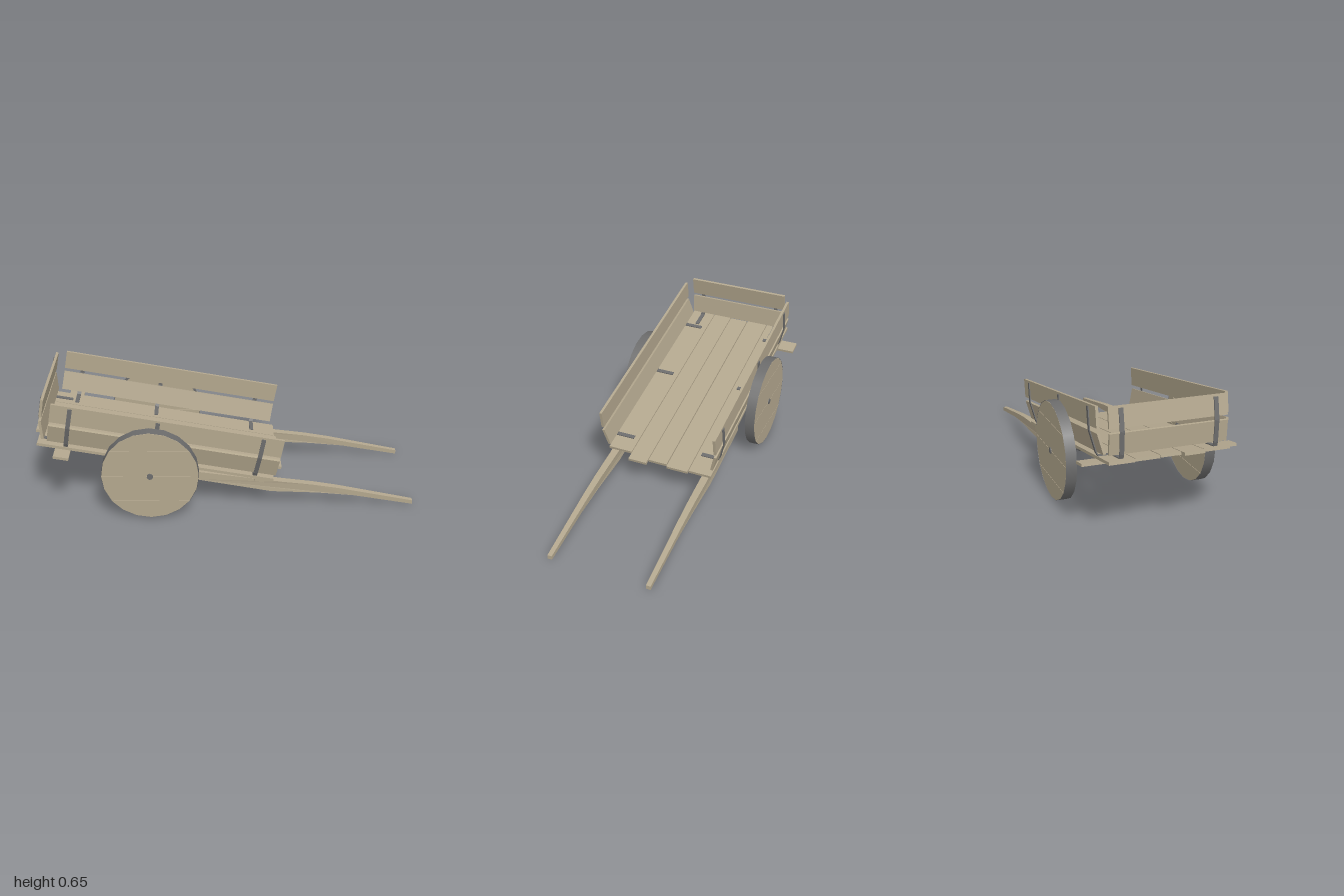
import * as THREE from 'three';

const wood = new THREE.MeshStandardMaterial({ color: 0xb3a78e, flatShading: true });
const metal = new THREE.MeshStandardMaterial({ color: 0x6c6c6c, flatShading: true });
const tyreMetal = new THREE.MeshStandardMaterial({ color: 0x6c6c6c, side: THREE.DoubleSide });

function add(parent, name, geometry, material, x = 0, y = 0, z = 0) {
  const mesh = new THREE.Mesh(geometry, material);
  mesh.name = name;
  mesh.position.set(x, y, z);
  parent.add(mesh);
  return mesh;
}

const box = (parent, name, w, h, d, material, x, y, z) =>
  add(parent, name, new THREE.BoxGeometry(w, h, d), material, x, y, z);

// Bent iron strap: one flat bar per segment of a [z, y] path
function addStrap(parent, x, path) {
  const strap = new THREE.Group();
  strap.name = 'ironStrap';
  for (let i = 1; i < path.length; i++) {
    const [z0, y0] = path[i - 1], [z1, y1] = path[i];
    const length = Math.hypot(z1 - z0, y1 - y0);
    const bar = box(strap, 'strapBar', 0.022, 0.005, length + 0.004, metal, x, (y0 + y1) / 2, (z0 + z1) / 2);
    bar.rotation.x = -Math.atan2(y1 - y0, z1 - z0);
  }
  parent.add(strap);
}

// Wall of two boards, the lower one leaning outwards (+z), held by straps
function makeWall(name, length, distance, centre, strapPositions) {
  const wall = new THREE.Group();
  wall.name = name;
  const lower = box(wall, 'lowerBoard', length, 0.104, 0.014, wood, centre, 0.074, distance + 0.0195);
  lower.rotation.x = Math.atan2(0.025, 0.102);
  box(wall, 'upperBoard', length, 0.101, 0.014, wood, centre, 0.1965, distance + 0.032);
  const path = [[-0.088, 0.003], [0.008, 0.003], [0.017, 0.022], [0.0425, 0.128], [0.0425, 0.235]]
    .map(([z, y]) => [z + distance, y]);
  strapPositions.forEach(x => addStrap(wall, x, path));
  return wall;
}

// Plank wheel: a 20-sided disc cut into four boards, with a thin tyre
function makeWheel(name, z) {
  const wheel = new THREE.Group();
  wheel.name = name;
  const R = 0.2525, width = 0.055, step = Math.PI / 10, gap = 0.001;
  const cuts = [-5, -2, 0, 2, 5];
  for (let i = 0; i < 4; i++) {
    const lo = Math.sin(cuts[i] * step) * R + gap, hi = Math.sin(cuts[i + 1] * step) * R - gap;
    const right = [];
    for (let k = cuts[i]; k <= cuts[i + 1]; k++) {
      const y = Math.sin(k * step) * (R - 0.002);
      right.push(new THREE.Vector2(Math.cos(k * step) * (R - 0.002), Math.min(hi, Math.max(lo, y))));
    }
    const left = right.map(p => new THREE.Vector2(-p.x, p.y)).reverse();
    const outline = [...right, ...left].filter((p, j, all) => j === 0 || p.distanceTo(all[j - 1]) > 1e-5);
    const geometry = new THREE.ExtrudeGeometry(new THREE.Shape(outline), { depth: width - 0.001, bevelEnabled: false });
    add(wheel, 'wheelBoard', geometry, wood, 0, 0, -width / 2 + 0.0005);
  }
  const tyre = new THREE.CylinderGeometry(R, R, width, 20, 1, true).rotateX(Math.PI / 2).rotateZ(Math.PI / 2);
  add(wheel, 'tyre', tyre, tyreMetal);
  wheel.position.set(-0.394, 0.257, z);
  return wheel;
}

// Pulling shaft: side outline extruded, then narrowed towards the handle
function addShaft(parent, name, z) {
  const outline = [[-0.17, 0.172], [0.24, 0.093], [0.49, 0.08], [0.68, 0.06], [1, 0], [1, 0.022],
    [0.6, 0.106], [0.46, 0.13], [0.3, 0.15], [-0.17, 0.219]].map(p => new THREE.Vector2(...p));
  const geometry = new THREE.ExtrudeGeometry(new THREE.Shape(outline), { depth: 1, bevelEnabled: false });
  const p = geometry.attributes.position;
  for (let i = 0; i < p.count; i++) {
    const t = Math.max(0, (p.getX(i) - 0.24) / 0.76);
    p.setZ(i, (p.getZ(i) - 0.5) * (0.041 - 0.017 * t));
  }
  geometry.computeVertexNormals();
  add(parent, name, geometry, wood, 0, 0, z);
}

export function createModel() {
  const cart = new THREE.Group();
  cart.name = 'handcart';

  // Tilted body; its origin lies on the bed above the axle
  const body = new THREE.Group();
  body.name = 'body';
  body.position.set(-0.39, 0.297, 0);
  body.rotation.z = -0.184;
  cart.add(body);

  // Bed planks: [rear end, front end, z from, z to]
  [[-0.61, 0.68, -0.307, -0.181], [-0.6, 0.69, -0.177, -0.057], [-0.59, 0.676, -0.052, 0.052],
    [-0.62, 0.702, 0.056, 0.16], [-0.595, 0.651, 0.164, 0.297]].forEach(([x0, x1, z0, z1]) =>
    box(body, 'bedPlank', x1 - x0, 0.015, z1 - z0, wood, (x0 + x1) / 2, -0.0075, (z0 + z1) / 2));

  // Cross pieces under the bed
  box(body, 'rearCrossPiece', 0.08, 0.014, 0.78, wood, -0.46, -0.022, -0.01);
  box(body, 'middleCrossPiece', 0.09, 0.014, 0.6, wood, 0, -0.022, -0.006);
  box(body, 'frontCrossPiece', 0.05, 0.018, 0.6, wood, 0.58, -0.024, -0.006);

  // Side walls and tailboard
  const walls = new THREE.Group();
  walls.name = 'walls';
  walls.position.z = -0.006;
  body.add(walls);
  const leftWall = makeWall('leftWall', 1.203, 0.289, 0.055, [-0.448, 0, 0.549]);
  const rightWall = makeWall('rightWall', 1.203, 0.289, -0.055, [0.448, 0, -0.549]);
  rightWall.rotation.y = Math.PI;
  const tailboard = makeWall('tailboard', 0.583, 0.563, 0.004, [-0.228, 0.238]);
  tailboard.rotation.y = -Math.PI / 2;
  walls.add(leftWall, rightWall, tailboard);

  // Shafts
  addShaft(cart, 'leftShaft', 0.263);
  addShaft(cart, 'rightShaft', -0.273);

  // Axle with collars, and wheels
  const axle = (name, r, length, z) => add(cart, name,
    new THREE.CylinderGeometry(r, r, length, 12).rotateX(Math.PI / 2), metal, -0.394, 0.257, z);
  axle('axle', 0.016, 0.8, 0);
  [-1, 1].forEach(s => axle('axleCollar', 0.022, 0.06, s * 0.22));
  cart.add(makeWheel('leftWheel', 0.3645), makeWheel('rightWheel', -0.3685));
  return cart;
}
